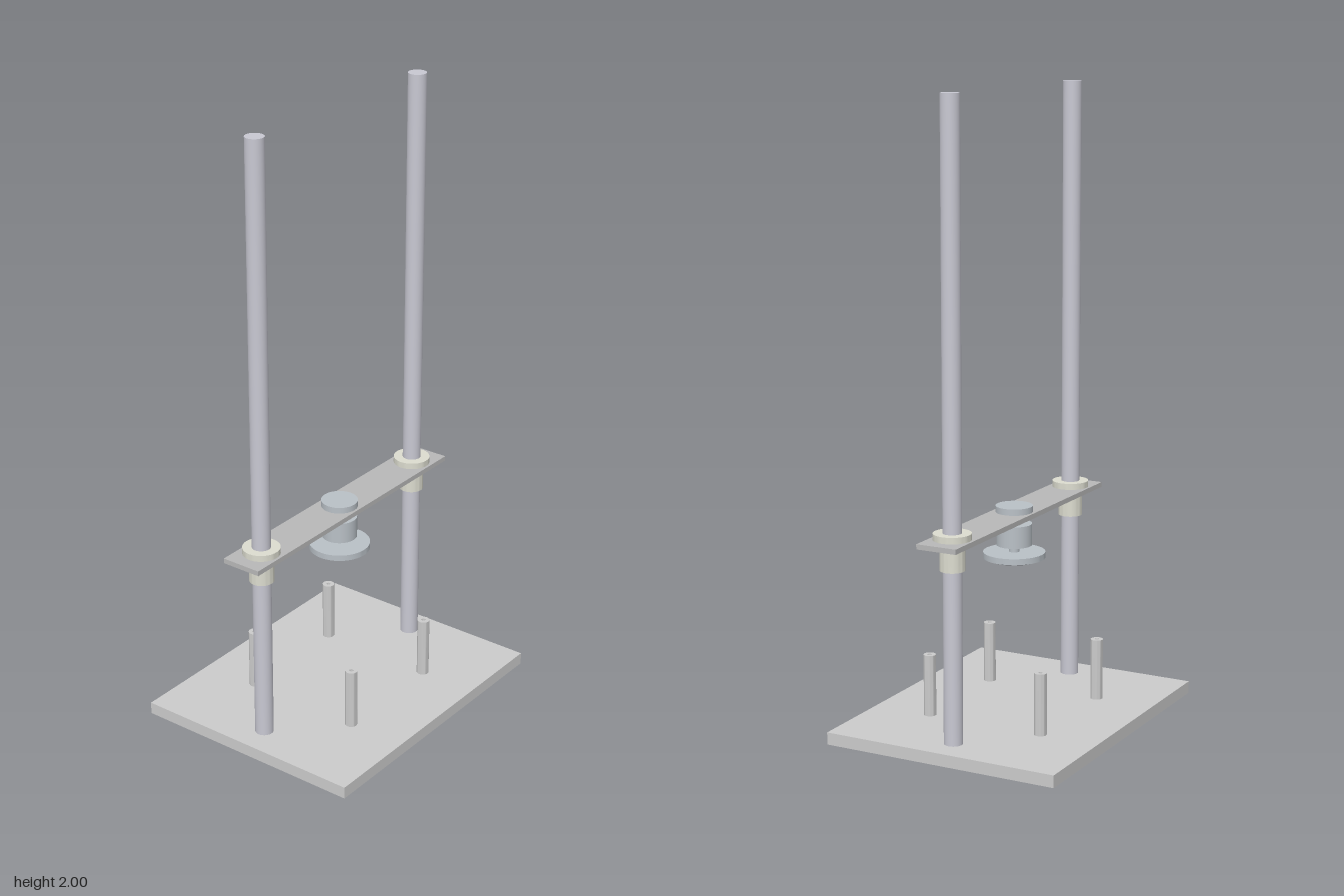
import * as THREE from 'three';
import { toCreasedNormals } from 'three/addons/utils/BufferGeometryUtils.js';

const mat = (color) => new THREE.MeshStandardMaterial({ color });
const ROD_X = 0.392, ROD_R = 0.0294, POST = 0.196, HOLE_R = 0.0065;
const BASE_TOP = 0.0392, BAR_Y = 0.663, BAR_TOP = 0.679;

function add(parent, name, geometry, material, x = 0, y = 0, z = 0) {
  const mesh = new THREE.Mesh(geometry, material);
  mesh.name = name;
  mesh.position.set(x, y, z);
  parent.add(mesh);
  return mesh;
}

// Turned part: profile of [radius, y], running from bottom to top on the outside
function turned(profile, segments = 48) {
  const points = profile.map(([r, y]) => new THREE.Vector2(r, y));
  return toCreasedNormals(new THREE.LatheGeometry(points, segments), 0.6);
}

// Flat plate lying in xz with round holes [x, z, r], its underside at y = 0
function plate(width, depth, thickness, holes) {
  const w = width / 2, d = depth / 2;
  const shape = new THREE.Shape([
    new THREE.Vector2(-w, -d), new THREE.Vector2(w, -d),
    new THREE.Vector2(w, d), new THREE.Vector2(-w, d),
  ]);
  for (const [x, z, r] of holes) {
    shape.holes.push(new THREE.Path().absarc(x, -z, r, 0, Math.PI * 2, true));
  }
  const geometry = new THREE.ExtrudeGeometry(shape, { depth: thickness, bevelEnabled: false, curveSegments: 24 });
  geometry.rotateX(-Math.PI / 2);
  return toCreasedNormals(geometry, 0.6);
}

export function createModel() {
  const model = new THREE.Group();
  model.name = 'guidedPressStand';
  const grey = mat(0xcccccc), barGrey = mat(0xb8b8b8);
  const steel = mat(0xc8c8d2), cream = mat(0xdcdccf), blueGrey = mat(0xb9c0c6);

  // Base plate, drilled through under each post
  const posts = [];
  for (const x of [-POST, POST]) for (const z of [-POST, POST]) posts.push([x, z, HOLE_R]);
  add(model, 'basePlate', plate(0.98, 0.784, BASE_TOP, posts), grey);

  // Hollow support posts
  const postGeometry = turned([
    [HOLE_R, 0], [0.0196, 0], [0.0196, 0.198], [HOLE_R, 0.198], [HOLE_R, 0],
  ], 32);
  for (const [x, z] of posts) add(model, 'supportPost', postGeometry, grey, x, BASE_TOP, z);

  // Guide rods with flanged bushings sitting in the crossbar
  const rodLength = 2 - BASE_TOP;
  const rodGeometry = new THREE.CylinderGeometry(ROD_R, ROD_R, rodLength, 48);
  const bushingGeometry = turned([
    [ROD_R, 0.584], [0.0392, 0.584], [0.0392, BAR_TOP], [0.0588, BAR_TOP],
    [0.0588, 0.699], [ROD_R, 0.699], [ROD_R, 0.584],
  ]);
  for (const x of [-ROD_X, ROD_X]) {
    add(model, 'guideRod', rodGeometry, steel, x, BASE_TOP + rodLength / 2, 0);
    add(model, 'flangedBushing', bushingGeometry, cream, x, 0, 0);
  }

  // Sliding crossbar
  const barHoles = [[-ROD_X, 0, 0.0392], [ROD_X, 0, 0.0392]];
  add(model, 'crossbar', plate(0.98, 0.134, BAR_TOP - BAR_Y, barHoles), barGrey, 0, BAR_Y, 0);

  // Press head: domed foot, stem, body and cap
  const head = new THREE.Group();
  head.name = 'pressHead';
  model.add(head);
  const dome = [];
  const rim = 0.098, sag = 0.018, R = (rim * rim + sag * sag) / (2 * sag);
  for (let i = 0; i <= 10; i++) {
    const r = (rim * i) / 10;
    dome.push([r, 0.513 + R - Math.sqrt(R * R - r * r)]);
  }
  add(head, 'domedFoot', turned([...dome, [rim, 0.55], [0, 0.55]], 64), blueGrey);
  const disc = (name, r, y0, y1) =>
    add(head, name, new THREE.CylinderGeometry(r, r, y1 - y0, 48), blueGrey, 0, (y0 + y1) / 2, 0);
  disc('stem', 0.0165, 0.545, 0.685);
  disc('headBody', 0.0565, 0.572, 0.641);
  disc('headCap', 0.0588, BAR_TOP, 0.699);

  return model;
}
